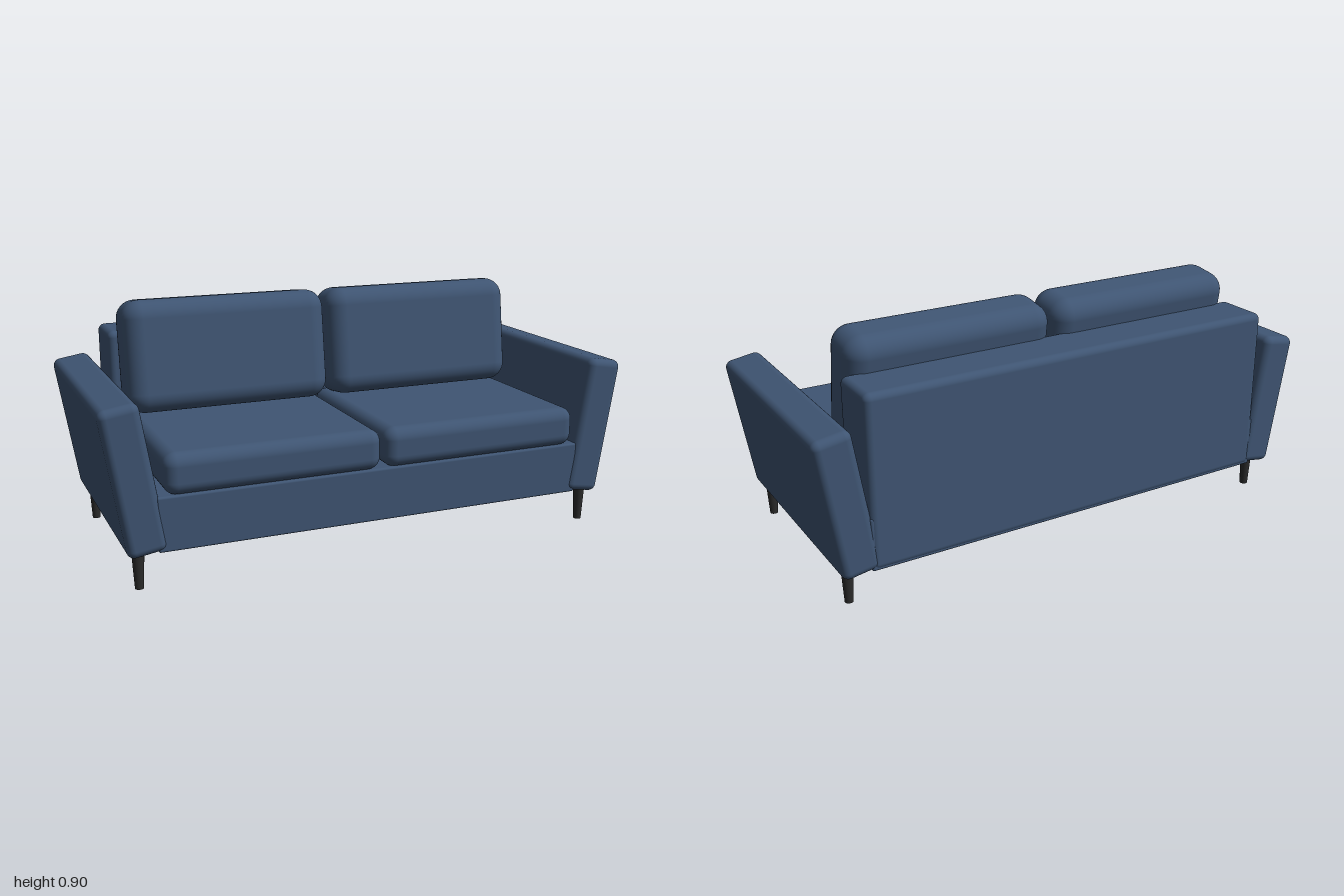
import * as THREE from 'three';
import { RoundedBoxGeometry } from 'three/addons/geometries/RoundedBoxGeometry.js';

export function createModel() {
  const sofa = new THREE.Group();
  sofa.name = 'sofa';
  const fabric = new THREE.MeshStandardMaterial({ name: 'blue fabric', color: 0x3f5573 });
  const legPaint = new THREE.MeshStandardMaterial({ name: 'dark leg', color: 0x2b2b2b });

  // Adds an upholstered block with rounded edges
  const block = (name, size, radius, position) => {
    const mesh = new THREE.Mesh(new RoundedBoxGeometry(...size, 5, radius), fabric);
    mesh.name = name;
    mesh.position.set(...position);
    sofa.add(mesh);
    return mesh;
  };

  // Frame: low base and full-height back
  block('base', [1.64, 0.195, 0.883], 0.008, [0, 0.2325, -0.0065]);
  block('backrest', [1.64, 0.63, 0.211], 0.025, [0, 0.45, -0.3465]);

  // Tapered round legs, wider at the top
  const legGeometry = new THREE.CylinderGeometry(0.023, 0.015, 0.15, 24);

  for (const [side, s] of [['left', 1], ['right', -1]]) {
    // Arm leaning outwards
    const arm = block(`${side}Arm`, [0.14, 0.522, 0.894], 0.028, [s * 0.893, 0.39, -0.005]);
    arm.rotation.z = -s * 0.16;

    // Seat cushion and reclined back cushion
    block(`${side}SeatCushion`, [0.787, 0.147, 0.71], 0.045, [s * 0.4, 0.4015, 0.097]);
    const cushion = block(`${side}BackCushion`, [0.787, 0.418, 0.211], 0.07, [s * 0.4, 0.683, -0.155]);
    cushion.rotation.x = -0.14;

    for (const [end, z] of [['Front', 0.38], ['Back', -0.367]]) {
      const leg = new THREE.Mesh(legGeometry, legPaint);
      leg.name = `${side}${end}Leg`;
      leg.position.set(s * 0.88, 0.075, z);
      sofa.add(leg);
    }
  }
  return sofa;
}
